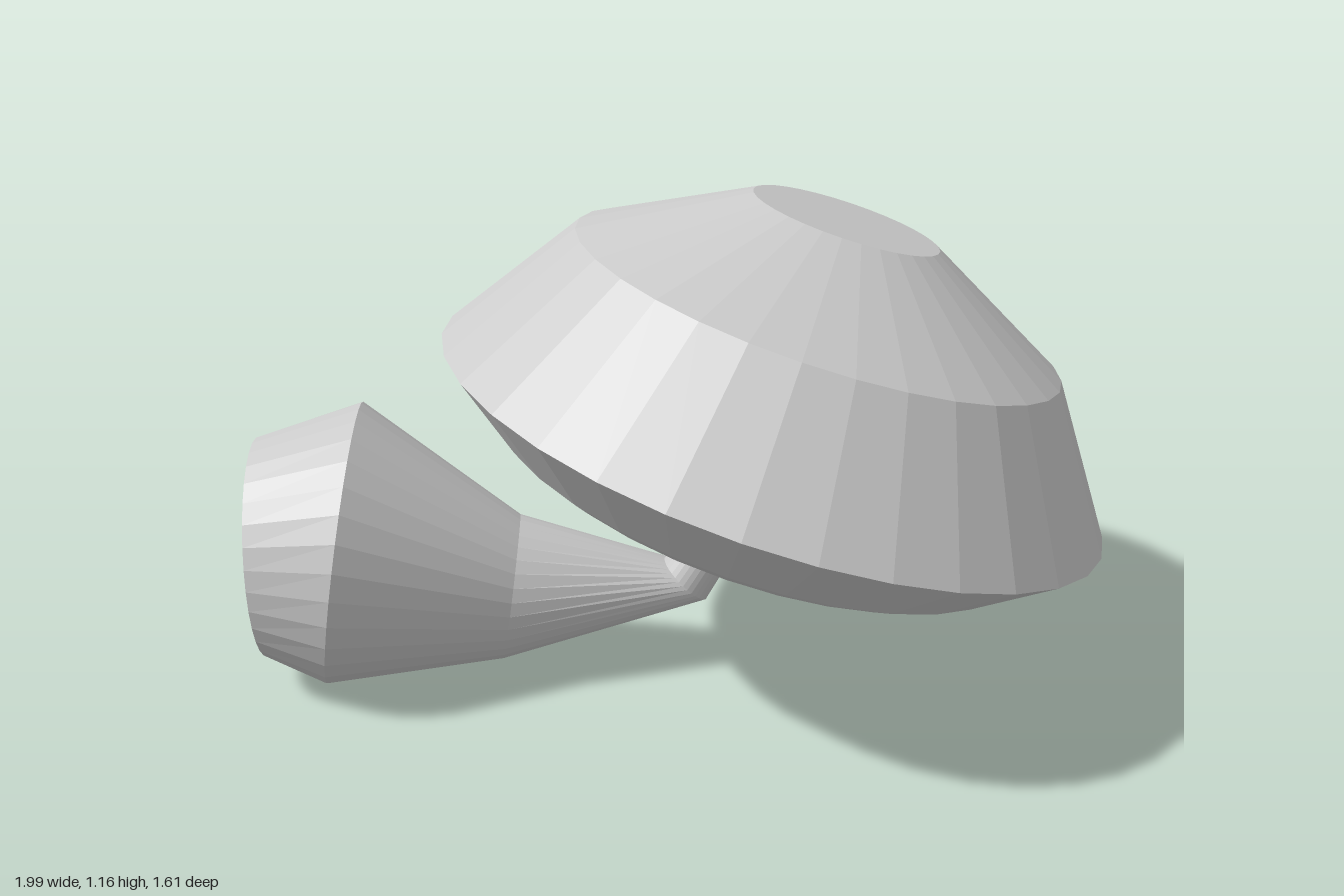
import * as THREE from 'three';

const SIDES = 32;

// Skin a row of tilted rings; each ring is given by its upper and lower edge point in the xy plane
function skinRings(rings) {
  const pos = [], index = [];
  rings.forEach(([x1, y1, x2, y2]) => {
    const cx = (x1 + x2) / 2, cy = (y1 + y2) / 2;
    const ux = x1 - cx, uy = y1 - cy, r = Math.hypot(ux, uy);
    for (let j = 0; j < SIDES; j++) {
      const t = (j / SIDES) * Math.PI * 2;
      pos.push(cx + ux * Math.cos(t), cy + uy * Math.cos(t), r * Math.sin(t));
    }
  });
  for (let i = 0; i < rings.length - 1; i++) {
    for (let j = 0; j < SIDES; j++) {
      const k = (j + 1) % SIDES;
      const a = i * SIDES + j, b = i * SIDES + k, c = a + SIDES, d = b + SIDES;
      if (i > 0) index.push(a, b, c); // the first ring is a single point
      index.push(b, d, c);
    }
  }
  const geo = new THREE.BufferGeometry();
  geo.setAttribute('position', new THREE.Float32BufferAttribute(pos, 3));
  geo.setIndex(index);
  geo.computeVertexNormals();
  return geo;
}

export function createModel() {
  const group = new THREE.Group();
  const mat = new THREE.MeshStandardMaterial({ color: 0xcccccc, flatShading: true });

  // Bent stem: flat foot, thick bulb, narrowing to the kink and up into the cap
  const stem = new THREE.Mesh(skinRings([
    [-0.993, 0.33, -0.993, 0.33],
    [-1.0, 0.592, -0.987, 0.072],
    [-0.75, 0.67, -0.85, 0.005],
    [-0.385, 0.385, -0.435, 0.04],
    [-0.042, 0.272, 0.06, 0.174],
    [0.317, 0.761, 0.373, 0.719],
  ]), mat);
  stem.name = 'stem';
  group.add(stem);

  // Tilted cap: hollow underside, rounded lip, widest rim, faceted dome with flat top
  const profile = [
    [0, 0.13], [0.28, 0.09], [0.44, -0.04], [0.505, -0.187],
    [0.575, -0.176], [0.635, -0.146], [0.807, 0],
    [0.584, 0.323], [0.223, 0.517], [0, 0.517],
  ].map(([r, h]) => new THREE.Vector2(r, h));
  const cap = new THREE.Mesh(new THREE.LatheGeometry(profile, SIDES), mat);
  cap.name = 'cap';
  cap.position.set(0.22, 0.61, 0);
  cap.rotation.z = -0.302;
  group.add(cap);

  return group;
}
